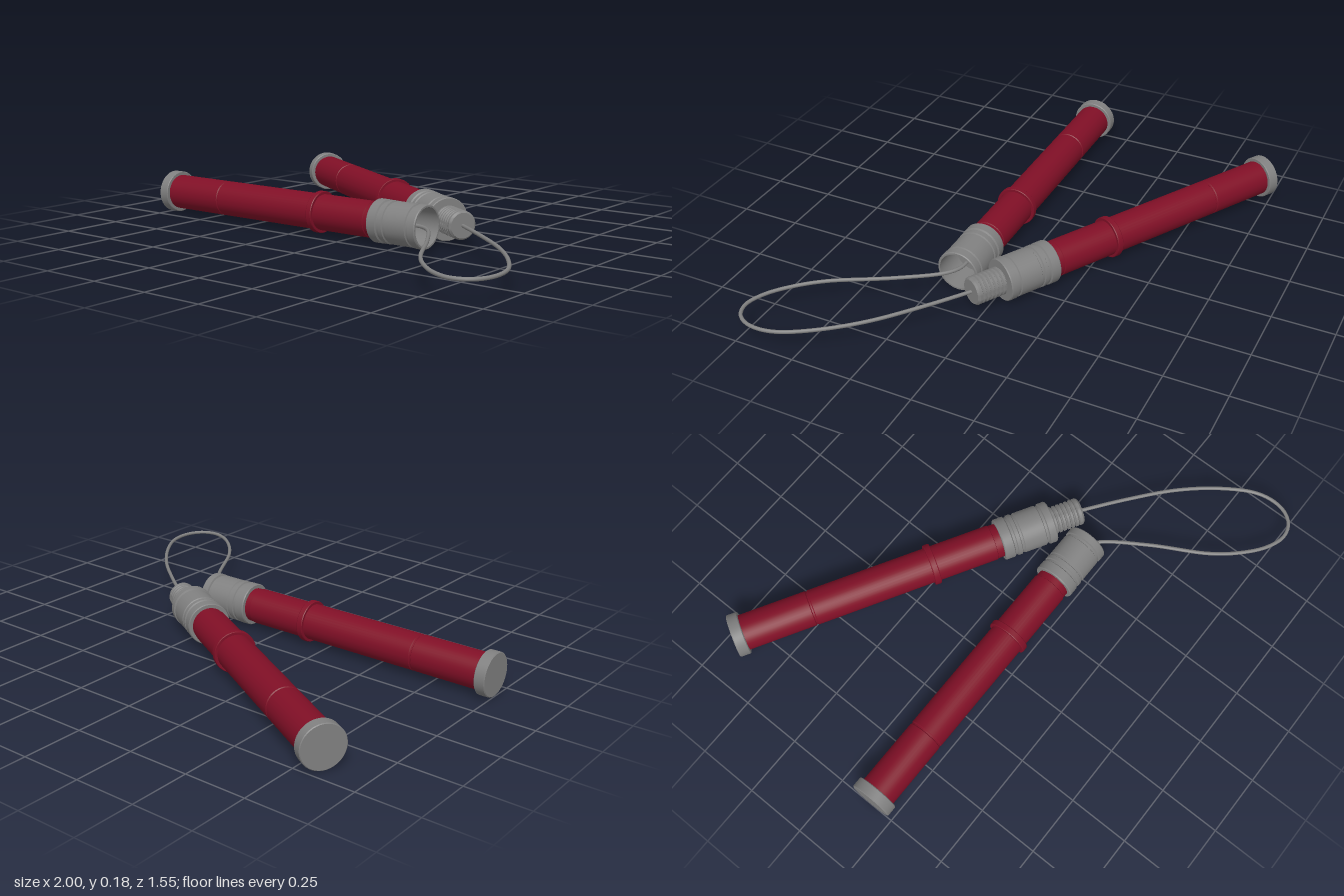
import * as THREE from 'three';
import { toCreasedNormals } from 'three/addons/utils/BufferGeometryUtils.js';

const red = new THREE.MeshStandardMaterial({ color: 0x800f26 });
red.name = 'dark red grip';
const grey = new THREE.MeshStandardMaterial({ color: 0x808080 });
grey.name = 'grey metal';

// Turns a [distance along shaft, radius] profile into a part lying along +x
function turned(name, profile, material) {
  const points = profile.map(([d, r]) => new THREE.Vector2(r, d));
  const geometry = new THREE.LatheGeometry(points, 40).rotateZ(-Math.PI / 2);
  const mesh = new THREE.Mesh(toCreasedNormals(geometry, 0.5), material);
  mesh.name = name;
  return mesh;
}

// Grooved outside of the metal collar, shared by both halves
const collar = [
  [1.137, 0], [1.137, 0.084], [1.141, 0.087], [1.178, 0.087], [1.182, 0.081],
  [1.192, 0.081], [1.195, 0.086], [1.21, 0.086], [1.213, 0.081], [1.222, 0.081],
  [1.225, 0.085], [1.318, 0.085], [1.321, 0.08], [1.331, 0.08], [1.334, 0.087],
  [1.362, 0.087], [1.366, 0.084],
];

// Parts that both halves have in common
function createHalf(name) {
  const half = new THREE.Group();
  half.name = name;
  half.add(
    turned('endCap', [
      [0, 0], [0, 0.085], [0.003, 0.088], [0.042, 0.088], [0.045, 0.085], [0.045, 0],
    ], grey),
    turned('grip', [
      [0.04, 0.073], [0.324, 0.073], [0.327, 0.07], [0.333, 0.07], [0.336, 0.073],
      [1.108, 0.073], [1.11, 0.07], [1.14, 0.07],
    ], red),
    turned('gripRing', [
      [0.832, 0.07], [0.832, 0.083], [0.835, 0.085], [0.855, 0.085],
      [0.858, 0.083], [0.858, 0.07],
    ], red),
  );
  return half;
}

export function createModel() {
  const model = new THREE.Group();
  model.name = 'foldingStaff';

  // Front half, ending in a hollow socket
  const front = createHalf('socketHalf');
  front.position.set(-1, 0.09, 0.155);
  front.add(turned('socket', [...collar, [1.366, 0.077], [1.235, 0.077], [1.235, 0]], grey));

  // Rear half, swung open and ending in a threaded stud
  const rear = createHalf('studHalf');
  rear.position.set(-0.841, 0.09, -0.702);
  rear.rotation.y = -Math.PI / 6;
  rear.add(turned('collar', [...collar, [1.366, 0]], grey));
  const thread = [[1.36, 0.05]];
  for (let i = 0; i < 6; i++) {
    const d = 1.368 + i * 0.018;
    thread.push([d, 0.05], [d + 0.004, 0.057], [d + 0.012, 0.057], [d + 0.016, 0.05]);
  }
  thread.push([1.478, 0.057], [1.49, 0.057], [1.498, 0.05], [1.498, 0]);
  rear.add(turned('threadedStud', thread, grey));

  // Loose cord joining the two halves
  const path = [
    [0.23, 0.155], [0.33, 0.155], [0.39, 0.19], [0.51, 0.36], [0.634, 0.575], [0.714, 0.67],
    [0.805, 0.743], [0.885, 0.771], [0.944, 0.755], [0.98, 0.709], [0.991, 0.644],
    [0.974, 0.564], [0.896, 0.436], [0.778, 0.302], [0.618, 0.168], [0.44, 0.035],
  ].map(([x, z]) => new THREE.Vector3(x, 0.09, z));
  const cord = new THREE.Mesh(
    new THREE.TubeGeometry(new THREE.CatmullRomCurve3(path), 100, 0.0075, 10), grey);
  cord.name = 'cord';

  model.add(front, rear, cord);
  return model;
}
